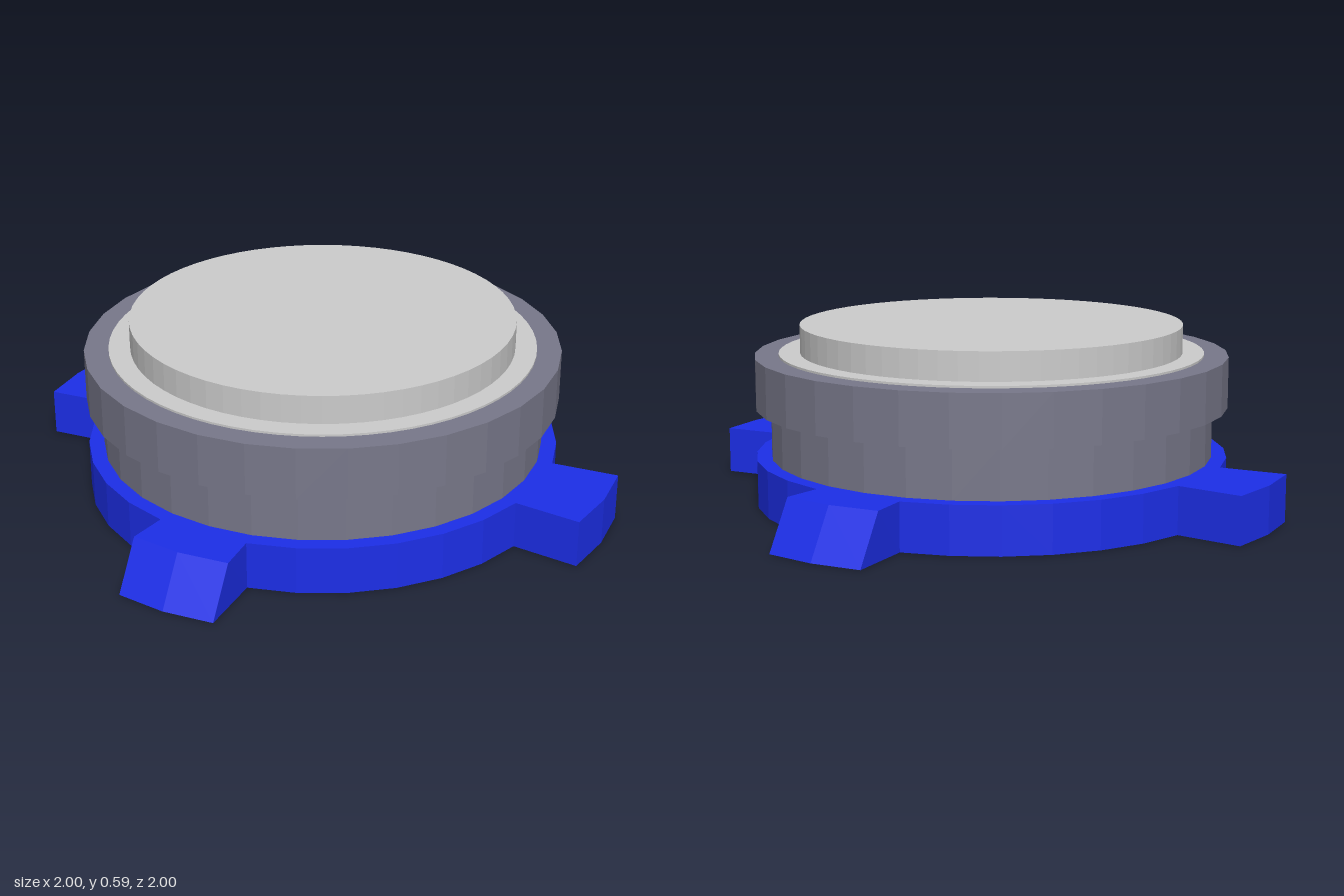
import * as THREE from 'three';

const BASE_H = 0.155;
const material = (color) => new THREE.MeshStandardMaterial({ color, flatShading: true });

// Faceted disc standing between two heights
function disc(name, radius, y0, y1, segments, mat) {
  const geometry = new THREE.CylinderGeometry(radius, radius, y1 - y0, segments);
  geometry.translate(0, (y0 + y1) / 2, 0);
  const mesh = new THREE.Mesh(geometry, mat);
  mesh.name = name;
  return mesh;
}

// 32-sided plate with a lug in place of the facet pair on each axis
function baseGeometry() {
  const points = [];
  const step = Math.PI / 16;
  for (let q = 0; q < 4; q++) {
    const axis = new THREE.Vector2();
    const turn = q * Math.PI / 2;
    const half = q % 2 ? 0.165 : 0.173;
    for (const y of [-half, 0, half]) {
      points.push(new THREE.Vector2(y ? 0.983 : 1, y).rotateAround(axis, turn));
    }
    for (let i = 1; i <= 7; i++) {
      const a = turn + i * step;
      points.push(new THREE.Vector2(0.78 * Math.cos(a), 0.78 * Math.sin(a)));
    }
  }
  const geometry = new THREE.ExtrudeGeometry(new THREE.Shape(points), { depth: BASE_H, bevelEnabled: false });
  geometry.rotateX(-Math.PI / 2);

  // Pull in the top edge of the front and back lugs to slope their ends
  const pos = geometry.attributes.position;
  for (let i = 0; i < pos.count; i++) {
    const z = pos.getZ(i);
    if (pos.getY(i) > BASE_H / 2 && Math.abs(z) > 0.85) pos.setZ(i, z - Math.sign(z) * 0.092);
  }
  geometry.computeVertexNormals();
  return geometry;
}

export function createModel() {
  const model = new THREE.Group();
  model.name = 'lockingCap';
  const blue = material(0x1c2ee8);
  const slate = material(0x78788a);
  const grey = material(0xcccccc);

  // Base plate with four lugs
  const base = new THREE.Mesh(baseGeometry(), blue);
  base.name = 'basePlate';
  model.add(base);

  // Body: neck and overhanging collar
  model.add(disc('neck', 0.73, BASE_H, 0.32, 32, slate));
  model.add(disc('collar', 0.78, 0.32, 0.488, 32, slate));

  // Stepped round top
  model.add(disc('topPlate', 0.7, 0.45, 0.495, 64, grey));
  model.add(disc('topButton', 0.63, 0.495, 0.587, 64, grey));
  return model;
}
